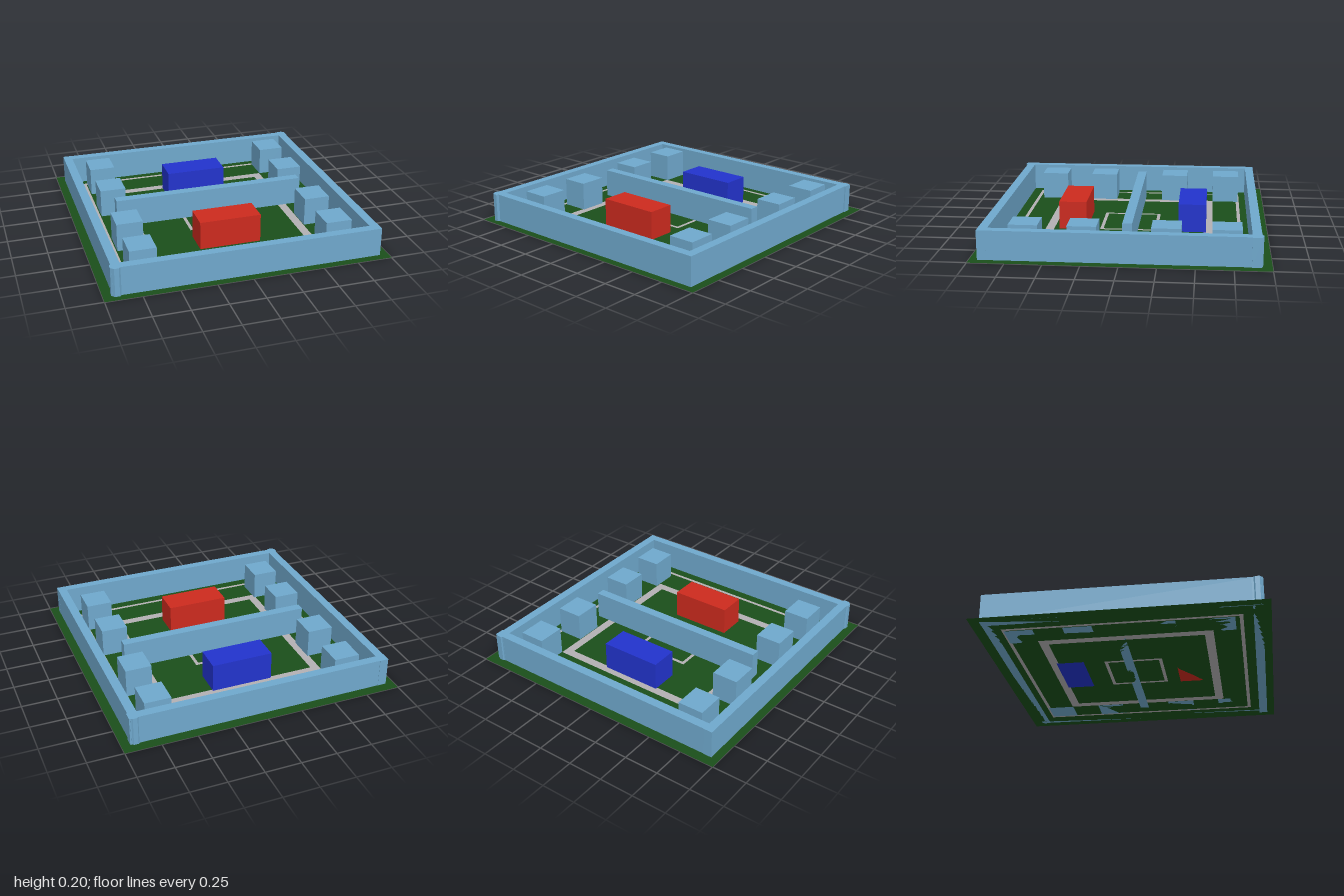
import * as THREE from 'three';

const H = 0.205; // common height of walls and blocks

const mat = (color, side = THREE.FrontSide) =>
  new THREE.MeshStandardMaterial({ color, side, flatShading: true });
const steel = mat(0x6fa8cc);
const red = mat(0xcc2a1e);
const blue = mat(0x2233cc);
const grass = mat(0x1a4f1a, THREE.DoubleSide);
const paint = mat(0xb3b0b3, THREE.DoubleSide);

const squarePoints = (r) => [[-r, -r], [r, -r], [r, r], [-r, r]].map(([x, y]) => new THREE.Vector2(x, y));

export function createModel() {
  const model = new THREE.Group();
  model.name = 'arena';

  const add = (name, geometry, material, parent = model) => {
    const mesh = new THREE.Mesh(geometry, material);
    mesh.name = name;
    parent.add(mesh);
    return mesh;
  };

  // Box standing on the ground, given by its x and z extents
  const block = (name, x0, x1, z0, z1, material = steel, parent = model) => {
    const mesh = add(name, new THREE.BoxGeometry(x1 - x0, H, z1 - z0), material, parent);
    mesh.position.set((x0 + x1) / 2, H / 2, (z0 + z1) / 2);
    return mesh;
  };

  // Flat ground: nested square rings, alternating grass and painted lines
  const ground = new THREE.Group();
  ground.name = 'ground';
  model.add(ground);
  const radii = [1, 0.815, 0.79, 0.607, 0.545, 0.21, 0.186, 0];
  for (let i = 0; i < radii.length - 1; i++) {
    const shape = new THREE.Shape(squarePoints(radii[i]));
    if (radii[i + 1] > 0) shape.holes.push(new THREE.Path(squarePoints(radii[i + 1])));
    const line = i % 2 === 1;
    add(line ? 'fieldLine' : 'grass', new THREE.ShapeGeometry(shape).rotateX(-Math.PI / 2),
      line ? paint : grass, ground);
  }

  // Perimeter walls; the side walls are very slightly skewed
  const walls = new THREE.Group();
  walls.name = 'walls';
  model.add(walls);
  block('backWall', -0.94, 0.94, -0.928, -0.865, steel, walls);
  block('frontWall', -0.935, 0.94, 0.882, 0.945, steel, walls);
  block('rightWall', -0.938, -0.875, -0.93, 0.945, steel, walls).rotation.y = 0.005;
  block('leftWall', 0.873, 0.936, -0.93, 0.94, steel, walls).rotation.y = 0.004;

  // Chamfered posts at two opposite corners
  for (const [x, z] of [[-0.906, 0.92], [0.902, -0.9]]) {
    const post = add('cornerPost',
      new THREE.CylinderGeometry(0.041, 0.041, H, 8).rotateY(Math.PI / 8), steel, walls);
    post.position.set(x, H / 2, z);
  }

  // Divider across the middle
  block('divider', -0.705, 0.705, -0.067, 0);

  // Four obstacles along each side
  for (const z of [-0.805, -0.4, 0.165, 0.562]) {
    block('rightObstacle', -0.783, -0.595, z, z + 0.2);
    block('leftObstacle', 0.61, 0.798, z, z + 0.2);
  }

  // Team bases
  block('blueBase', -0.223, 0.22, -0.56, -0.36, blue);
  block('redBase', -0.223, 0.22, 0.305, 0.505, red);

  return model;
}
